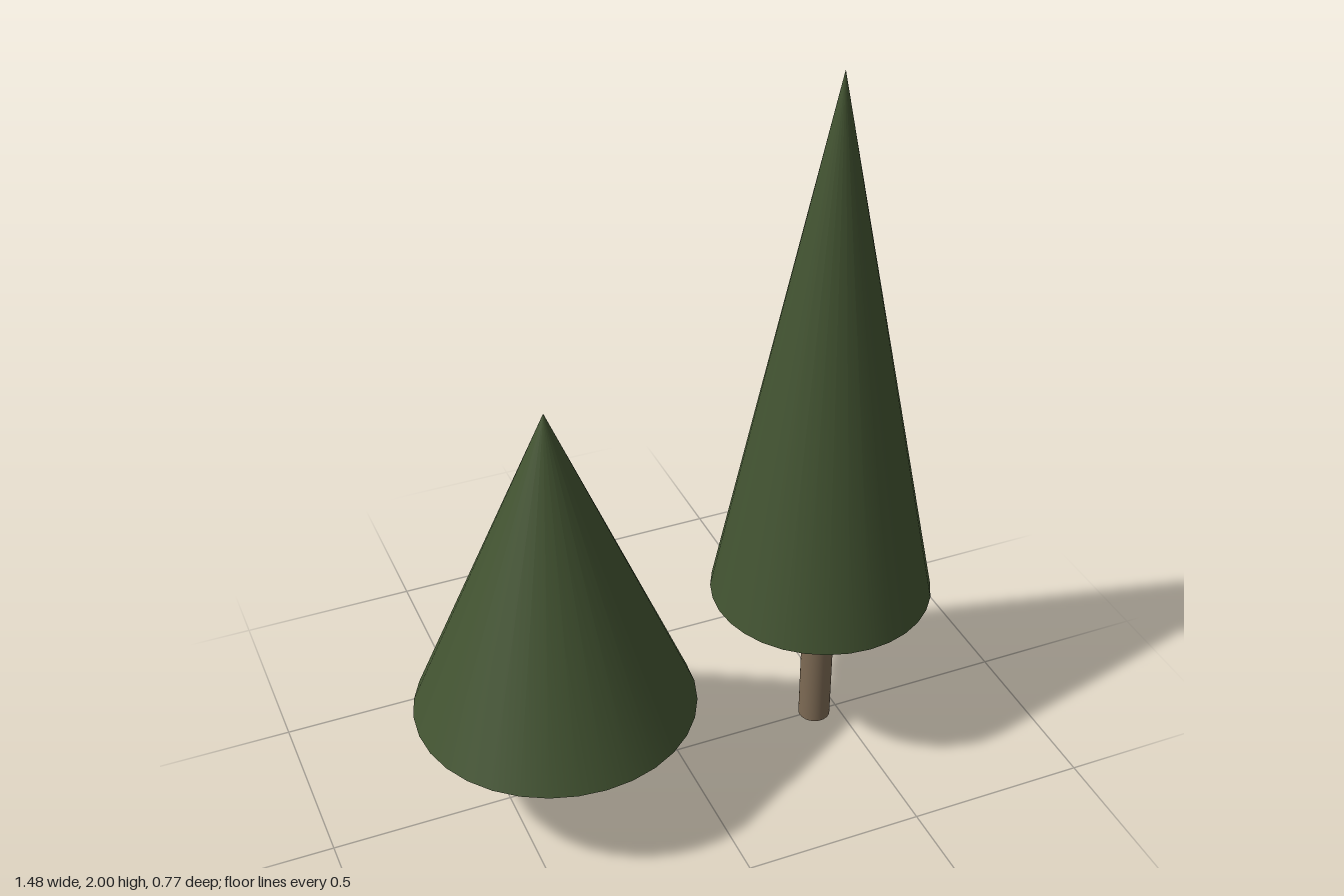
import * as THREE from 'three';

const foliageGreen = new THREE.MeshStandardMaterial({ name: 'foliage green', color: 0x425331 });
const barkBrown = new THREE.MeshStandardMaterial({ name: 'bark brown', color: 0x7d6a54 });

const SIDES = 32;
const TRUNK_RADIUS = 0.045;

// One conifer: a cone of foliage on a slim round trunk
function makeTree(name, x, radius, base, top) {
  const tree = new THREE.Group();
  tree.name = name;
  tree.position.x = x;

  const foliage = new THREE.Mesh(new THREE.ConeGeometry(radius, top - base, SIDES), foliageGreen);
  foliage.name = 'foliage';
  foliage.position.y = (base + top) / 2;

  const trunk = new THREE.Mesh(new THREE.CylinderGeometry(TRUNK_RADIUS, TRUNK_RADIUS, base, SIDES), barkBrown);
  trunk.name = 'trunk';
  trunk.position.y = base / 2;

  tree.add(foliage, trunk);
  return tree;
}

export function createModel() {
  const model = new THREE.Group();
  model.name = 'coniferPair';
  model.add(
    makeTree('shortTree', -0.356, 0.383, 0.31, 1.23),
    makeTree('tallTree', 0.431, 0.306, 0.465, 2.0),
  );
  return model;
}
